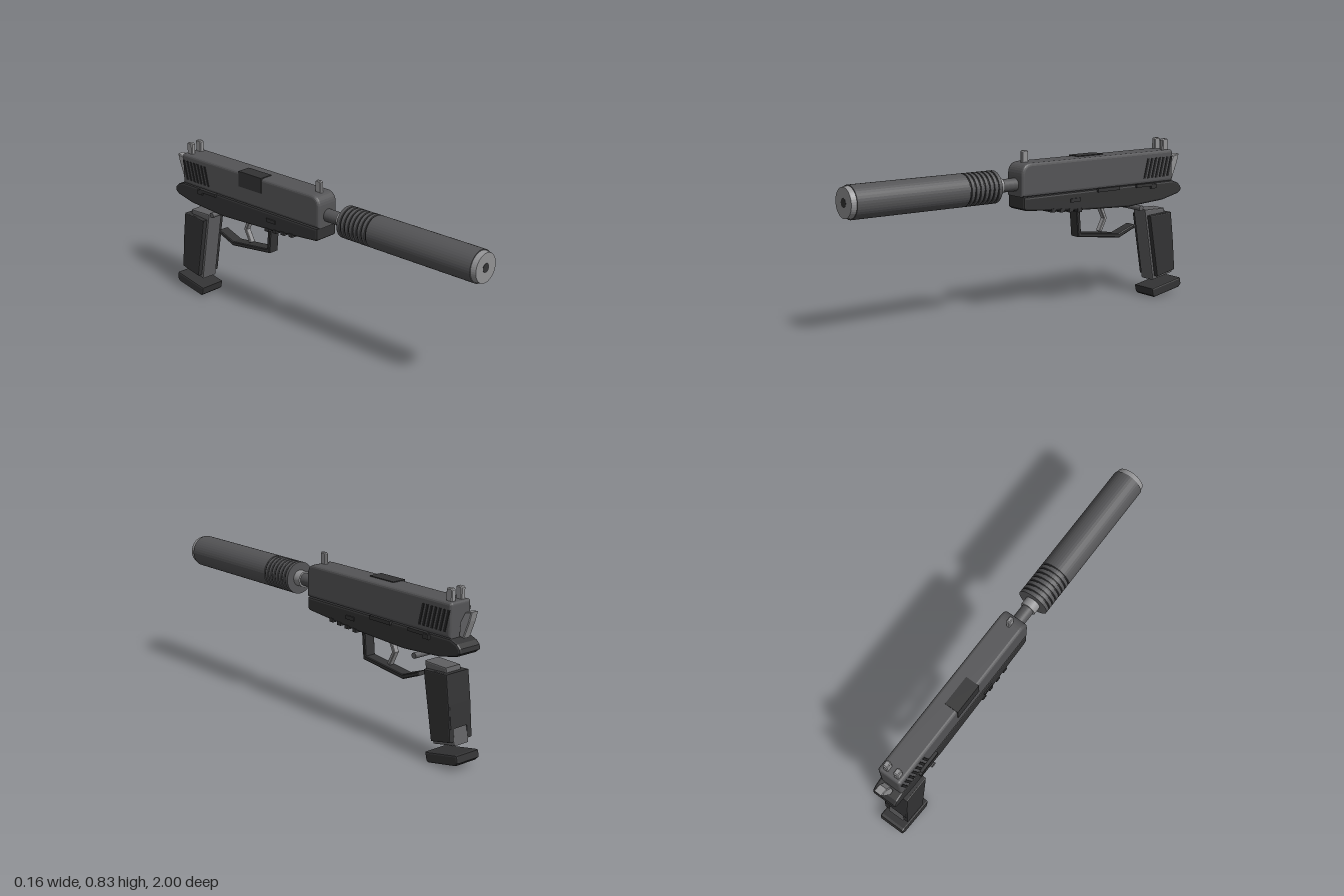
import * as THREE from 'three';

const paint = (name, color) => {
  const m = new THREE.MeshStandardMaterial({ color });
  m.name = name;
  return m;
};

export function createModel() {
  const model = new THREE.Group();
  const steel = paint('slideSteel', 0x545456);
  const dark = paint('darkPolymer', 0x333334);
  const light = paint('brightMetal', 0x929294);
  const mid = paint('midMetal', 0x606062);
  const black = paint('grooveBlack', 0x262627);

  const add = (name, geometry, material, x = 0, y = 0, z = 0) => {
    const mesh = new THREE.Mesh(geometry, material);
    mesh.name = name;
    mesh.position.set(x, y, z);
    model.add(mesh);
    return mesh;
  };

  // Box given by its centre and size
  const box = (name, mat, x, y, z, w, h, d) => add(name, new THREE.BoxGeometry(w, h, d), mat, x, y, z);

  // Side outline as [z, y] points, widened across x with bevelled edges
  const outline = (points) => new THREE.Shape(points.map(([z, y]) => new THREE.Vector2(-z, y)));
  const side = (name, mat, shape, x0, x1, bevel = 0.008, steps = 2) => {
    const g = new THREE.ExtrudeGeometry(shape, {
      depth: x1 - x0 - 2 * bevel, bevelEnabled: bevel > 0, bevelSize: bevel,
      bevelThickness: bevel, bevelOffset: -bevel, bevelSegments: steps, curveSegments: 8,
    });
    g.translate(0, 0, x0 + bevel).rotateY(Math.PI / 2);
    return add(name, g, mat);
  };

  // Turned part along z, profile as [radius, z] from back to front
  const turned = (name, mat, profile) => {
    const pts = profile.map(([r, z]) => new THREE.Vector2(r, z));
    const g = new THREE.LatheGeometry(pts, 40).rotateX(Math.PI / 2).toNonIndexed();
    g.computeVertexNormals();
    return add(name, g, mat, 0, 0.665, 0);
  };

  // Slide with rounded front top corner
  const slide = new THREE.Shape();
  slide.moveTo(-0.057, 0.608);
  slide.lineTo(0.915, 0.608);
  slide.lineTo(0.915, 0.755);
  slide.quadraticCurveTo(0.915, 0.771, 0.9, 0.771);
  slide.lineTo(0.0, 0.771);
  slide.quadraticCurveTo(-0.057, 0.771, -0.057, 0.71);
  side('slide', steel, slide, -0.064, 0.064, 0.014, 3);

  // Slanted grip cuts on both sides of the slide
  for (const s of [-1, 1]) {
    for (let i = 0; i < 7; i++) {
      const z = -0.715 - i * 0.026;
      side('slideSerration', black, outline([
        [z, 0.635], [z - 0.013, 0.635], [z - 0.038, 0.737], [z - 0.025, 0.737],
      ]), s > 0 ? 0.061 : -0.067, s > 0 ? 0.067 : -0.061, 0);
    }
  }

  // Ejection port wraps from the top onto the right side
  box('ejectionPortTop', dark, -0.03, 0.771, -0.41, 0.07, 0.008, 0.16);
  box('ejectionPortSide', dark, -0.064, 0.735, -0.41, 0.008, 0.08, 0.16);

  // Frame
  side('frame', dark, outline([
    [0.048, 0.607], [0.048, 0.55], [0.035, 0.541], [-0.28, 0.513], [-0.62, 0.498], [-0.85, 0.513],
    [-0.955, 0.537], [-0.978, 0.555], [-0.974, 0.576], [-0.955, 0.594], [-0.915, 0.609],
  ]), -0.066, 0.066, 0.01);

  // Accessory rail ridges
  for (let i = 0; i < 4; i++) {
    box('railRidge', dark, 0, 0.528 - i * 0.005, -0.13 - i * 0.055, 0.138, 0.018, 0.026);
  }

  // Controls on both sides of the frame
  for (const s of [-1, 1]) {
    box('takedownPin', dark, s * 0.066, 0.567, -0.265, 0.012, 0.018, 0.06);
    box('safetyLever', dark, s * 0.068, 0.602, -0.72, 0.016, 0.016, 0.12);
    box('safetyThumbPad', dark, s * 0.07, 0.592, -0.775, 0.014, 0.022, 0.035);
  }
  box('slideStop', dark, 0.069, 0.603, -0.475, 0.016, 0.018, 0.14);
  const release = add('magazineRelease',
    new THREE.CylinderGeometry(0.014, 0.014, 0.14, 16), mid, 0, 0.484, -0.697);
  release.rotation.z = Math.PI / 2;

  // Trigger guard
  side('triggerGuard', dark, outline([
    [-0.303, 0.52], [-0.316, 0.369], [-0.586, 0.337], [-0.69, 0.378], [-0.684, 0.396],
    [-0.582, 0.359], [-0.335, 0.388], [-0.324, 0.52],
  ]), -0.031, 0.031, 0.004, 1);

  // Trigger
  side('trigger', light, outline([
    [-0.46, 0.52], [-0.496, 0.444], [-0.464, 0.382], [-0.48, 0.375], [-0.515, 0.444], [-0.482, 0.52],
  ]), -0.015, 0.015, 0.003, 1);

  // Grip core, side panels with backstrap
  side('gripCore', mid, outline([
    [-0.743, 0.468], [-0.807, 0.088], [-0.941, 0.115], [-0.925, 0.2], [-0.88, 0.448], [-0.877, 0.465],
  ]), -0.046, 0.046, 0.006);
  const panel = [
    [-0.76, 0.436], [-0.816, 0.109], [-0.936, 0.134], [-0.921, 0.305], [-0.904, 0.444],
  ];
  side('gripPanelLeft', dark, outline(panel), 0.04, 0.071, 0.005);
  side('gripPanelRight', dark, outline(panel), -0.071, -0.04, 0.005);
  side('backstrap', dark, outline([
    [-0.82, 0.44], [-0.84, 0.2], [-0.933, 0.195], [-0.921, 0.305], [-0.904, 0.444],
  ]), -0.066, 0.066, 0.003, 1);

  // Magazine base
  side('magazineBase', dark, outline([
    [-0.78, 0.048], [-0.788, 0.01], [-0.8, 0.001], [-0.968, 0.033], [-0.985, 0.05], [-0.979, 0.083], [-0.966, 0.084],
  ]), -0.071, 0.071, 0.008);

  // Hammer
  side('hammer', light, outline([
    [-0.925, 0.615], [-0.93, 0.684], [-0.957, 0.733], [-0.997, 0.74], [-0.985, 0.695], [-0.952, 0.612],
  ]), -0.022, 0.022, 0.004, 1);

  // Sights
  const sight = (name, x, z, w) => side(name, light, outline([
    [z + 0.018, 0.765], [z - 0.018, 0.765], [z - 0.018, 0.822], [z - 0.012, 0.828],
    [z + 0.012, 0.828], [z + 0.018, 0.822],
  ]), x - w / 2, x + w / 2, 0.004, 1);
  sight('frontSight', 0, 0, 0.02);
  sight('rearSight', 0.03, -0.88, 0.026);
  sight('rearSight', -0.03, -0.88, 0.026);

  // Barrel and collar
  turned('barrel', steel, [[0, 0], [0.032, 0], [0.032, 0.15], [0, 0.15]]);
  turned('collar', light, [[0, 0.143], [0.04, 0.143], [0.04, 0.19], [0, 0.19]]);

  // Suppressor with ribbed rear section
  const ribs = [[0, 0.185]];
  for (let i = 0; i < 7; i++) {
    const z = 0.185 + i * 0.026;
    ribs.push([0.08, z], [0.08, z + 0.018], [0.073, z + 0.018], [0.073, z + 0.026]);
  }
  turned('suppressorBody', steel, [...ribs, [0.08, 0.367], [0.08, 0.973], [0, 0.973]]);
  for (let i = 0; i < 7; i++) {
    const z = 0.203 + i * 0.026;
    turned('suppressorGroove', black, [[0.0745, z], [0.0745, z + 0.008]]);
  }
  turned('suppressorCap', light, [[0.076, 0.97], [0.072, 1], [0, 1]]);
  turned('muzzleHole', dark, [[0.022, 0.999], [0.022, 1.001], [0, 1.001]]);

  return model;
}
